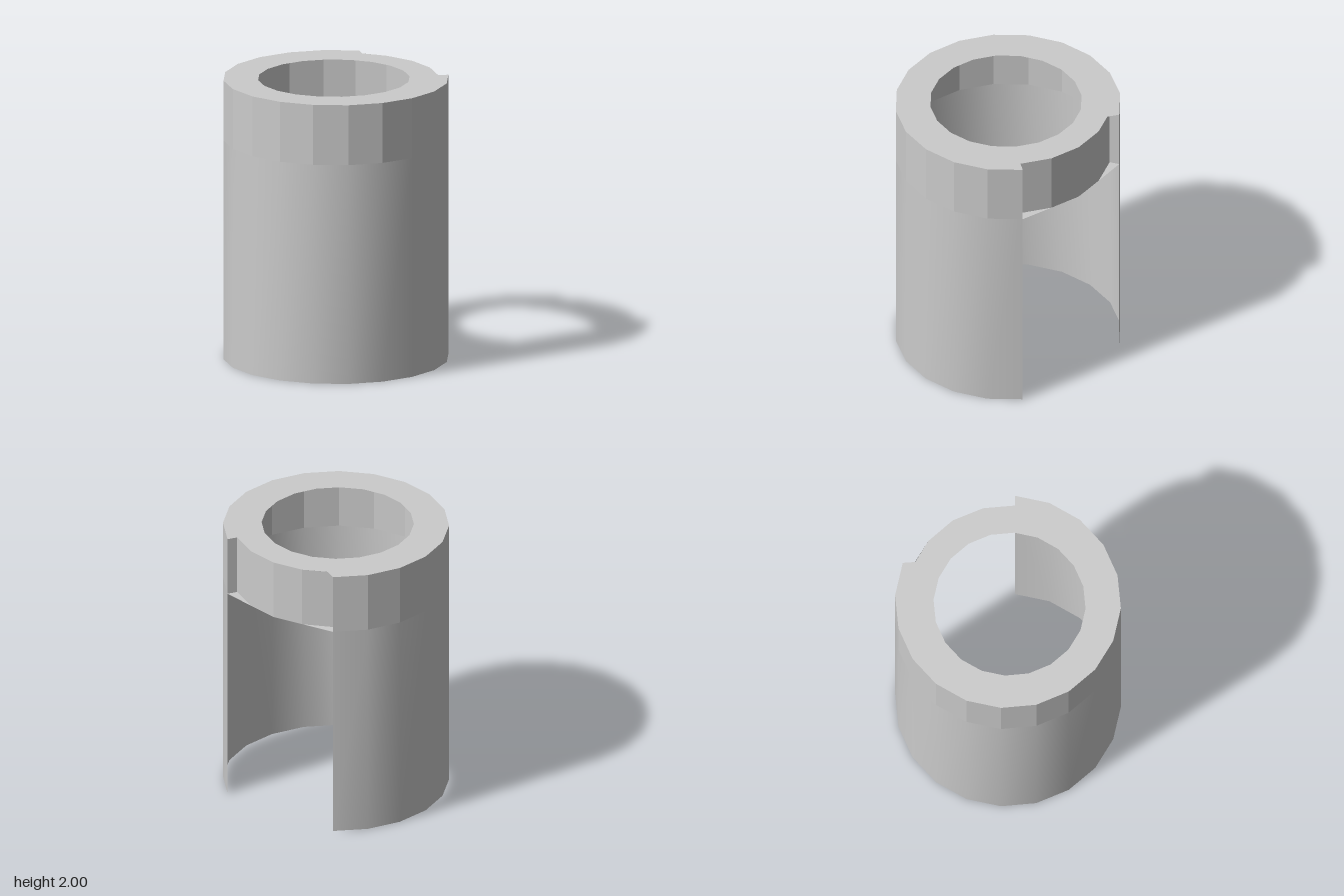
import * as THREE from 'three';

const STEP = Math.PI / 10; // twenty-sided rings
const TOP = 2, LEDGE = 1.57;

// points [x, z] on a ring, from step a to step b (step 0 points to +x)
function arc(cx, r, a, b) {
  const pts = [];
  for (let i = a; i <= b; i++) pts.push([cx + r * Math.cos(i * STEP), r * Math.sin(i * STEP)]);
  return pts;
}

export function createModel() {
  const group = new THREE.Group();
  const smooth = new THREE.MeshStandardMaterial({ color: 0xcccccc, side: THREE.DoubleSide });
  const flat = new THREE.MeshStandardMaterial({ color: 0xcccccc, side: THREE.DoubleSide, flatShading: true });

  function add(name, geometry, material) {
    const mesh = new THREE.Mesh(geometry, material);
    mesh.name = name;
    group.add(mesh);
  }

  // upright thin wall along a path, facing outward
  function wall(name, path, y0, y1, material) {
    const pos = [], index = [];
    path.forEach(([x, z], i) => {
      pos.push(x, y0, z, x, y1, z);
      if (i) {
        const k = 2 * i;
        index.push(k - 2, k - 1, k, k, k - 1, k + 1);
      }
    });
    const g = new THREE.BufferGeometry();
    g.setAttribute('position', new THREE.Float32BufferAttribute(pos, 3));
    g.setIndex(index);
    g.computeVertexNormals();
    add(name, g, material);
  }

  // level plate with an optional opening
  function plate(name, outline, y, hole) {
    const toVec = ([x, z]) => new THREE.Vector2(x, -z);
    const shape = new THREE.Shape(outline.map(toVec));
    if (hole) shape.holes.push(new THREE.Path(hole.map(toVec)));
    const g = new THREE.ShapeGeometry(shape);
    g.rotateX(-Math.PI / 2);
    g.translate(0, y, 0);
    add(name, g, flat);
  }

  // open shell: wraps round the back, leaving a gap at +x
  const shell = arc(0.035, 0.787, 2, 18);
  wall('lowerShell', shell, 0, LEDGE, smooth);
  wall('upperBand', shell, LEDGE, TOP, flat);

  // recessed collar bridging the gap, with returns to the shell edges
  const bridge = [[0.61, -0.43], [0.713, -0.225], [0.75, 0], [0.713, 0.225], [0.61, 0.425]];
  wall('collarBridge', [shell[16], ...bridge, shell[0]], LEDGE, TOP, flat);

  // top cap with the round bore
  const capEdge = [[0.63, -0.385], ...bridge.slice(1)];
  plate('topCap', [...shell, ...capEdge], TOP, arc(0.015, 0.53, 0, 19));

  // small ledges at the foot of the collar
  plate('frontLedge', [shell[0], bridge[4], bridge[3]], LEDGE);
  plate('backLedge', [shell[16], bridge[0], bridge[1]], LEDGE);

  return group;
}
